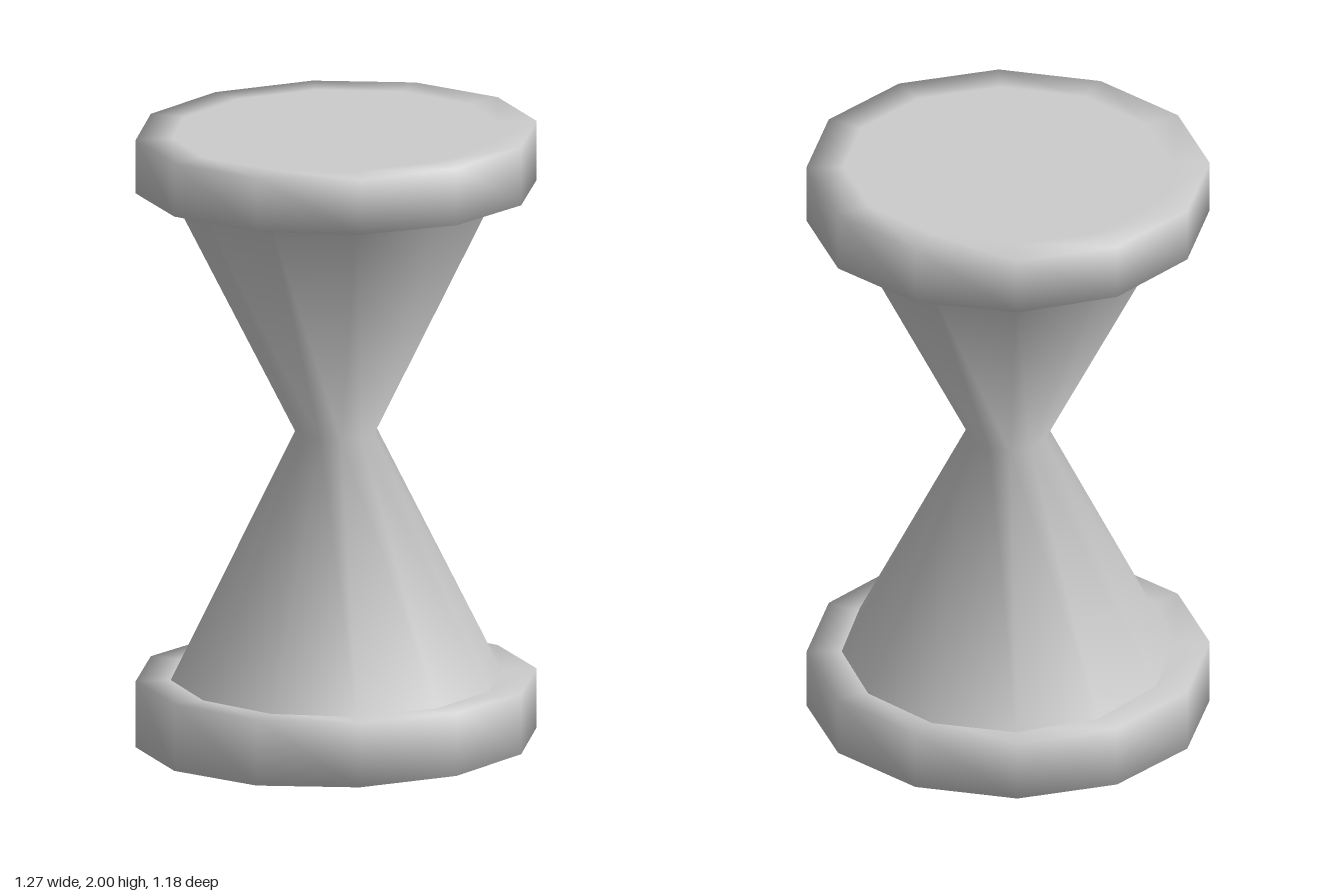
import * as THREE from 'three';

const SIDES = 12;

// Twelve-sided body turned from a bottom-to-top profile, slightly narrower in z
function turned(name, profile, depth) {
  const geo = new THREE.LatheGeometry(profile.map(([r, y]) => new THREE.Vector2(r, y)), SIDES);
  geo.scale(1, 1, depth);
  const mesh = new THREE.Mesh(geo, new THREE.MeshStandardMaterial({ color: 0xcccccc }));
  mesh.name = name;
  return mesh;
}

// Thick end disc with soft-shaded rim; its outer face (y = outer) leans a little
function plate(name, bottom, top, outer) {
  const mesh = turned(name, [
    [0, bottom], [0.52, bottom], [0.635, bottom],
    [0.635, top], [0.52, top], [0, top],
  ], 0.93);
  const pos = mesh.geometry.attributes.position;
  for (let i = 0; i < pos.count; i++) {
    if (Math.abs(pos.getY(i) - outer) < 1e-4) {
      pos.setY(i, outer + 0.016 * pos.getX(i) - 0.009 * pos.getZ(i));
    }
  }
  return mesh;
}

export function createModel() {
  const group = new THREE.Group();
  group.name = 'hourglass';

  // End plates
  group.add(plate('bottomPlate', 0.012, 0.217, 0.012));
  group.add(plate('topPlate', 1.805, 1.989, 1.989));

  // Two cones meeting at a narrow waist
  group.add(turned('glassBody', [[0.527, 0.21], [0.13, 1.015], [0.527, 1.81]], 0.99));

  return group;
}
